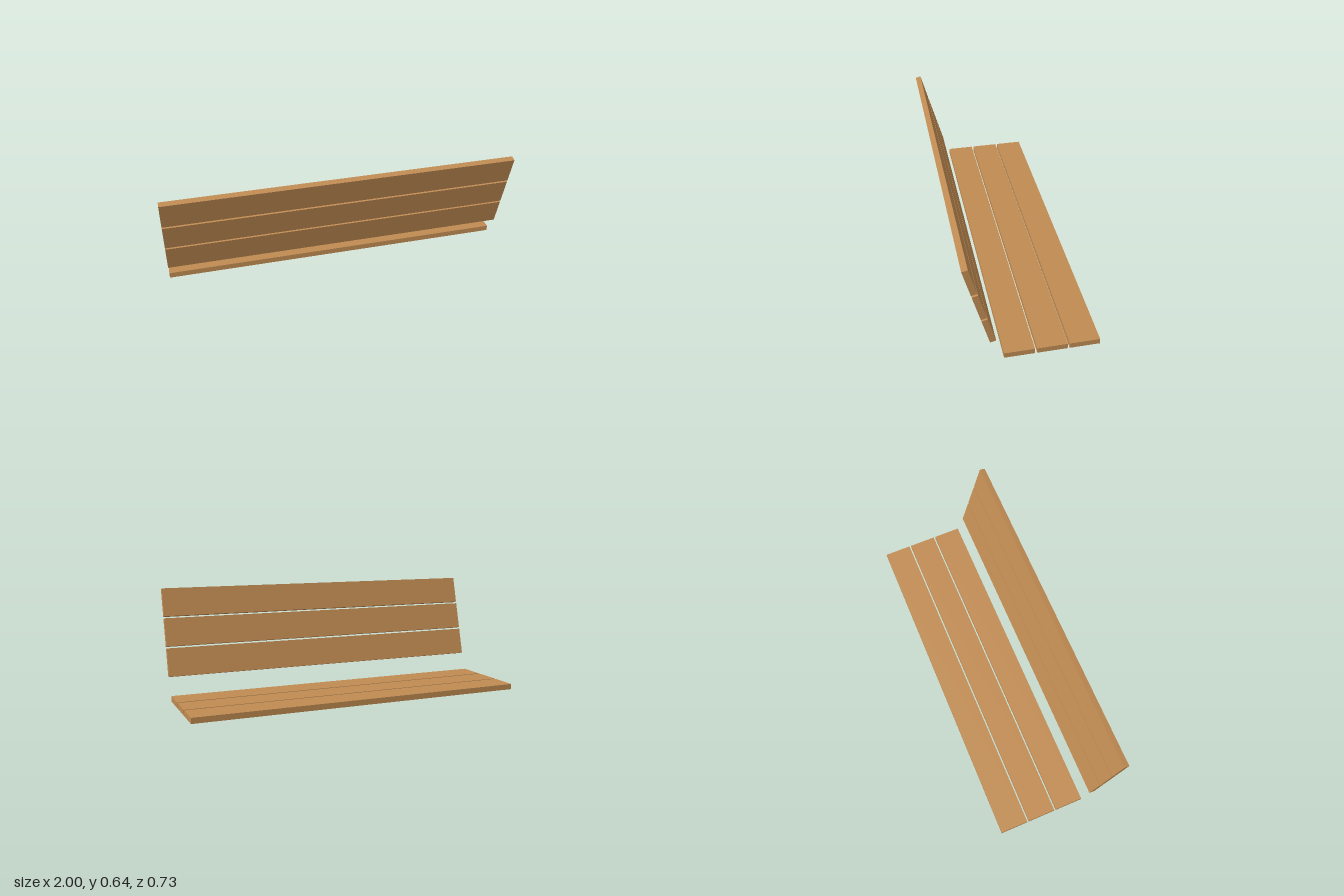
import * as THREE from 'three';

export function createModel() {
  const model = new THREE.Group();
  model.name = 'bench';
  const wood = new THREE.MeshStandardMaterial({ color: 0xc08b52 });
  wood.name = 'wood';

  const length = 2, width = 0.166, thickness = 0.033;
  const plank = new THREE.BoxGeometry(length, thickness, width);

  // Seat: three flat planks side by side
  const seat = new THREE.Group();
  seat.name = 'seat';
  [0.074, -0.104, -0.281].forEach((z, i) => {
    const slat = new THREE.Mesh(plank, wood);
    slat.name = `seatSlat${i + 1}`;
    slat.position.set(0, thickness / 2, z);
    seat.add(slat);
  });

  // Backrest: three upright planks in one plane, leaning out by 15 degrees
  const backrest = new THREE.Group();
  backrest.name = 'backrest';
  backrest.position.set(0, 0.387, 0.282);
  backrest.rotation.x = THREE.MathUtils.degToRad(15);
  const board = new THREE.BoxGeometry(length, width, thickness);
  for (let i = -1; i <= 1; i++) {
    const slat = new THREE.Mesh(board, wood);
    slat.name = `backSlat${i + 2}`;
    slat.position.y = i * 0.178;
    backrest.add(slat);
  }

  model.add(seat, backrest);
  return model;
}
